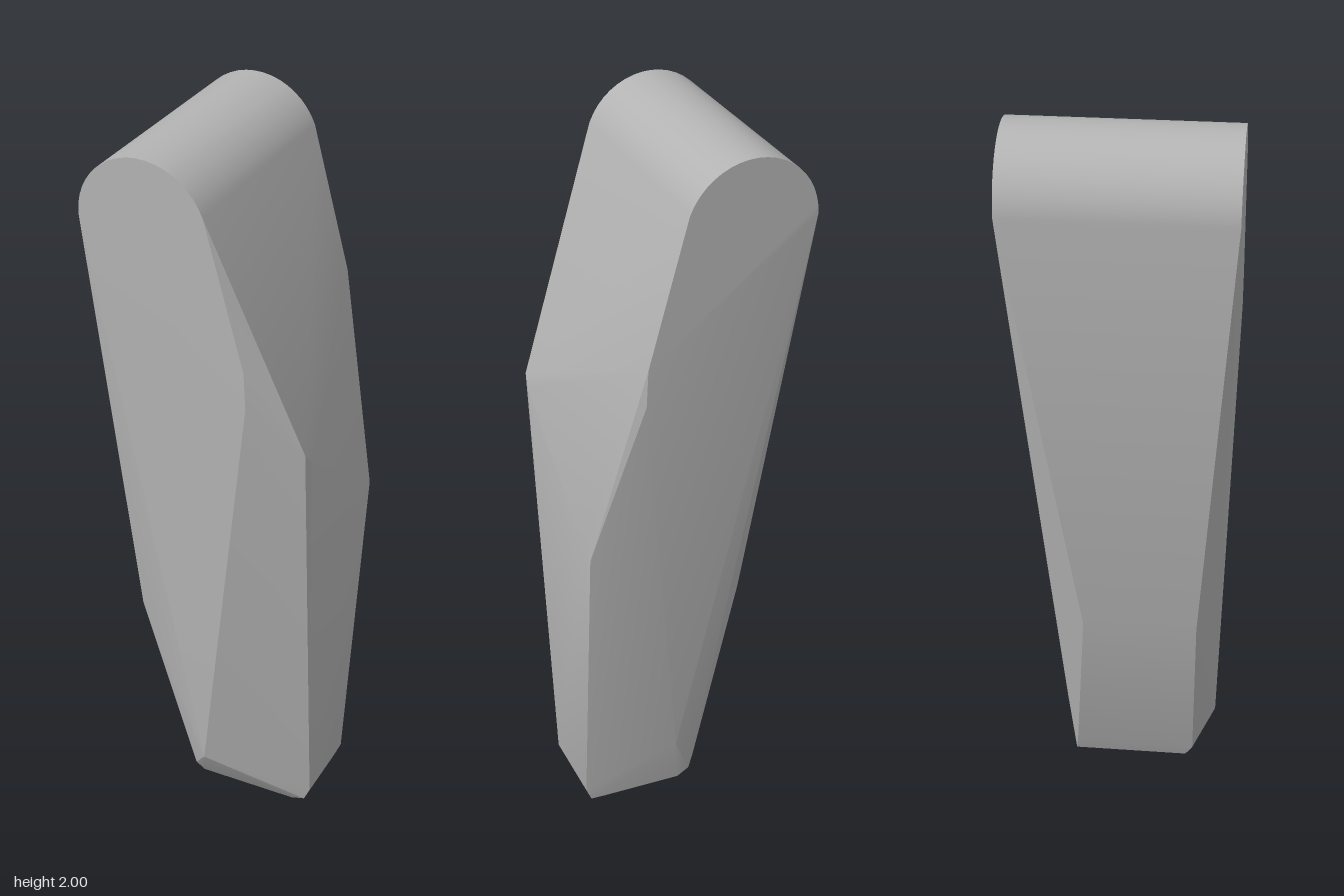
import * as THREE from 'three';
import { ConvexGeometry } from 'three/addons/geometries/ConvexGeometry.js';
import { toCreasedNormals } from 'three/addons/utils/BufferGeometryUtils.js';

export function createModel() {
  const group = new THREE.Group();
  group.name = 'facetedLever';
  const grey = new THREE.MeshStandardMaterial({ color: 0xb3b3b3 });
  grey.name = 'grey';

  const points = [];
  const add = (x, y, ...zs) => zs.forEach((z) => points.push(new THREE.Vector3(x, y, z)));

  // Half-round top, full depth
  const segments = 20;
  for (let i = 0; i <= segments; i++) {
    const a = Math.PI - (i / segments) * (Math.PI - 0.38);
    add(-0.11 + 0.17 * Math.cos(a), 1.83 + 0.17 * Math.sin(a), 0.28, -0.28);
  }

  // Shoulders of the two flat cheeks
  add(0.15, 1.52, 0.28, -0.28);
  add(0.155, 1.42, 0.28, -0.28);

  // Slanted ridge on the +x side, with slightly rounded ends
  add(0.275, 1.28, 0.2);
  add(0.28, 1.25, 0.175);
  add(0.275, 0.95, -0.2);
  add(0.28, 0.97, -0.175);

  // Bend on the -x side
  add(-0.2, 0.64, 0.2, -0.1);

  // Lower cheek corners
  add(0.01, 0.2, 0.25);
  add(0.02, 0.2, -0.175);

  // Rounded foot
  add(-0.05, 0.1, 0.19, -0.14);
  add(-0.035, 0.06, 0.17, -0.145);
  add(0.0, 0.04, 0.15, -0.145);
  add(0.21, 0.0, 0.1);
  add(0.21, 0.01, -0.1);
  add(0.25, 0.015, 0.1, -0.1);
  add(0.267, 0.06, 0.1, -0.105);

  const body = new THREE.Mesh(toCreasedNormals(new ConvexGeometry(points), 0.4), grey);
  body.name = 'body';
  group.add(body);
  return group;
}
